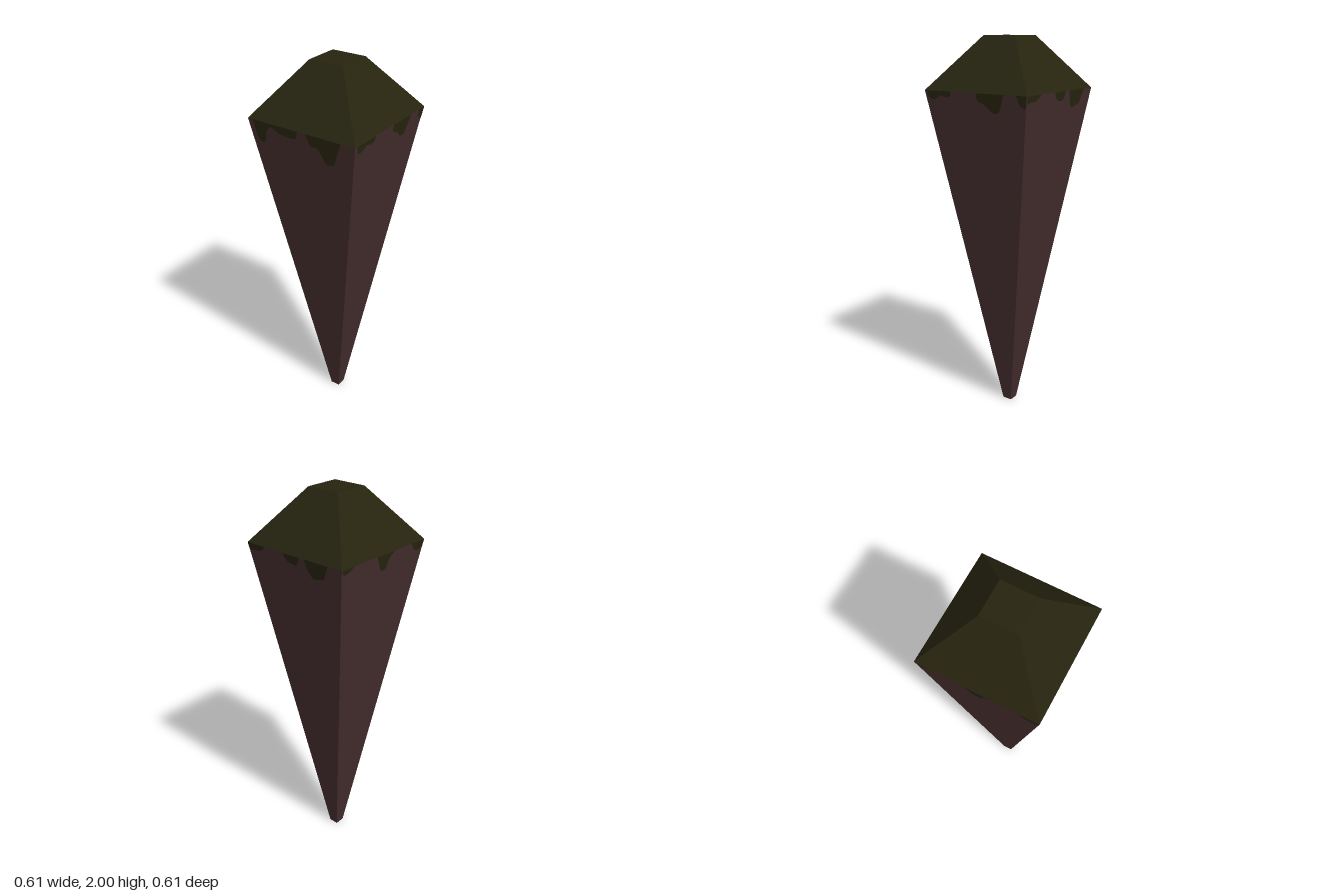
import * as THREE from 'three';

const RIM_Y = 1.74, TOP_Y = 2.0;
const TIP = 0.026, RIM = 0.301, CROWN = 0.092; // half widths

const stone = new THREE.MeshStandardMaterial({ color: 0x442d2d });
stone.name = 'brown stone';
const moss = new THREE.MeshStandardMaterial({ color: 0x26240f });
moss.name = 'dark moss';
for (const m of [stone, moss]) m.flatShading = true;

// Drip outlines per side: [across, depth below rim], left to right seen from outside
const drips = {
  front: [
    [[-0.27, 0], [-0.255, 0.085], [-0.232, 0.11], [-0.206, 0.09], [-0.195, 0.045], [-0.165, 0.018],
      [-0.13, 0.034], [-0.1, 0.042], [-0.03, 0.042], [-0.01, 0]],
    [[0.035, 0], [0.058, 0.056], [0.095, 0.06], [0.127, 0.115], [0.15, 0.13], [0.18, 0.116],
      [0.2, 0.068], [0.217, 0.022], [0.228, 0]],
  ],
  left: [
    [[-0.285, 0], [-0.276, 0.032], [-0.253, 0.042], [-0.228, 0.036], [-0.206, 0.021], [-0.165, 0.03],
      [-0.145, 0.022], [-0.138, 0]],
    [[0.014, 0], [0.022, 0.036], [0.058, 0.052], [0.095, 0.083], [0.116, 0.09], [0.138, 0.084],
      [0.158, 0.042], [0.168, 0.012], [0.175, 0]],
    [[0.243, 0], [0.258, 0.042], [0.28, 0.056], [0.291, 0.052], [0.3, 0]],
  ],
  back: [
    [[-0.299, 0], [-0.29, 0.035], [-0.26, 0.03], [-0.22, 0.028], [-0.18, 0]],
    [[-0.06, 0], [-0.04, 0.032], [0, 0.045], [0.025, 0.04], [0.045, 0]],
    [[0.075, 0], [0.09, 0.05], [0.12, 0.085], [0.15, 0.08], [0.185, 0.07], [0.205, 0.03], [0.22, 0]],
  ],
  right: [
    [[-0.299, 0], [-0.285, 0.025], [-0.25, 0.02], [-0.22, 0]],
    [[-0.06, 0], [-0.04, 0.04], [-0.015, 0.08], [0.015, 0.075], [0.035, 0.03], [0.07, 0]],
    [[0.2, 0], [0.225, 0.035], [0.26, 0.045], [0.285, 0.035], [0.3, 0]],
  ],
};

// Square frustum standing between two heights
function frustum(name, bottom, top, y0, y1, material) {
  const geo = new THREE.CylinderGeometry(top * Math.SQRT2, bottom * Math.SQRT2, y1 - y0, 4);
  geo.rotateY(Math.PI / 4).translate(0, (y0 + y1) / 2, 0);
  const mesh = new THREE.Mesh(geo, material);
  mesh.name = name;
  return mesh;
}

// Thin moss patch lying on the sloping +z side
function drip(points) {
  const pts = points.map(([u, d]) => new THREE.Vector2(u, RIM_Y - d));
  const shape = new THREE.Shape();
  shape.moveTo(pts[0].x, pts[0].y);
  shape.splineThru(pts.slice(1));
  const geo = new THREE.ShapeGeometry(shape, 24);
  const p = geo.attributes.position;
  for (let i = 0; i < p.count; i++) {
    const y = Math.min(p.getY(i), RIM_Y);
    const half = TIP + (RIM - TIP) * y / RIM_Y;
    p.setXYZ(i, THREE.MathUtils.clamp(p.getX(i), -half, half), y, half + 0.002);
  }
  geo.computeVertexNormals();
  const mesh = new THREE.Mesh(geo, moss);
  mesh.name = 'mossDrip';
  return mesh;
}

export function createModel() {
  const model = new THREE.Group();
  model.name = 'mossySpike';
  model.add(frustum('spikeBody', TIP, RIM, 0, RIM_Y, stone));
  model.add(frustum('mossCap', RIM, CROWN, RIM_Y, TOP_Y, moss));

  // One set of drips on each of the four sides
  ['front', 'left', 'back', 'right'].forEach((side, i) => {
    const group = new THREE.Group();
    group.name = side + 'Drips';
    drips[side].forEach((points) => group.add(drip(points)));
    group.rotation.y = i * Math.PI / 2;
    model.add(group);
  });
  return model;
}
